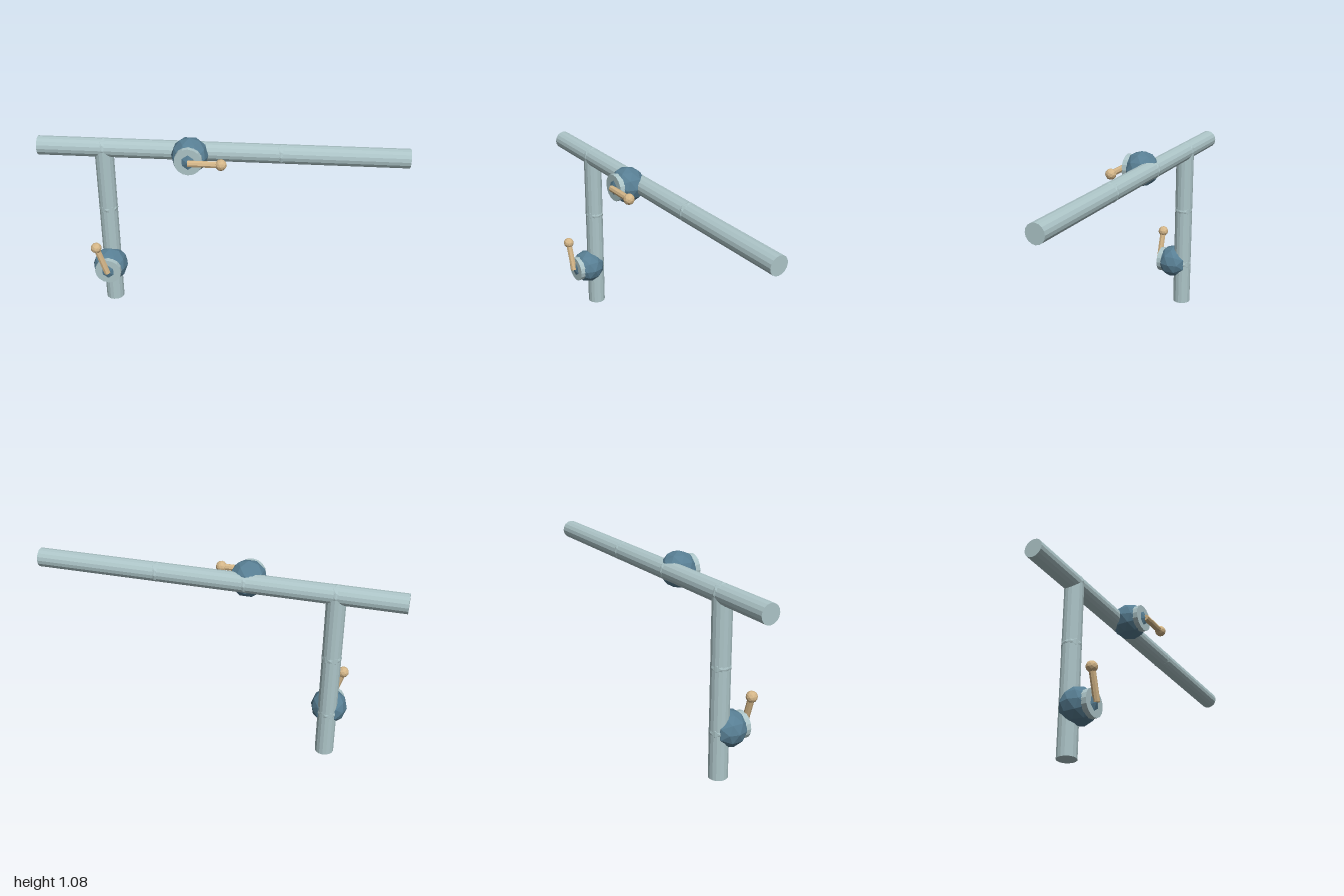
import * as THREE from 'three';

const flat = (name, color) => {
  const m = new THREE.MeshStandardMaterial({ color, flatShading: true });
  m.name = name;
  return m;
};

export function createModel() {
  const pipeGrey = flat('pale pipe grey', 0xadc5c8);
  const valveBlue = flat('valve blue', 0x587f94);
  const handleTan = flat('handle tan', 0xd4b688);

  const model = new THREE.Group();
  model.name = 'pipework';
  const PIPE_Z = -0.067, TOP_Y = 0.978, POST_X = -0.64, PIPE_R = 0.052;

  const add = (parent, name, geometry, material, x, y, z) => {
    const mesh = new THREE.Mesh(geometry, material);
    mesh.name = name;
    mesh.position.set(x, y, z);
    parent.add(mesh);
    return mesh;
  };

  // Pipes: long crossbar and the post hanging from it
  const bar = new THREE.CylinderGeometry(PIPE_R, PIPE_R, 2, 16).rotateZ(Math.PI / 2);
  add(model, 'horizontalPipe', bar, pipeGrey, 0, TOP_Y, PIPE_Z);
  const post = new THREE.CylinderGeometry(PIPE_R, PIPE_R, TOP_Y, 16);
  add(model, 'verticalPipe', post, pipeGrey, POST_X, TOP_Y / 2, PIPE_Z);

  // Faceted joints that just break through the pipe walls
  const joint = new THREE.IcosahedronGeometry(0.055, 1);
  for (const [x, y] of [[POST_X, TOP_Y], [-0.165, TOP_Y], [0.32, TOP_Y], [POST_X, 0.61], [POST_X, 0.261]]) {
    add(model, 'pipeJoint', joint, pipeGrey, x, y, PIPE_Z);
  }

  // Valve: faceted body, front collar, and a lever turned to the given angle
  const body = new THREE.IcosahedronGeometry(0.1, 1);
  const collar = new THREE.CylinderGeometry(0.075, 0.075, 0.03, 16).rotateX(Math.PI / 2);
  const rod = new THREE.CylinderGeometry(0.018, 0.018, 0.175, 8);
  const knob = new THREE.IcosahedronGeometry(0.031, 1);
  const addValve = (name, x, y, angle) => {
    const valve = new THREE.Group();
    valve.name = name;
    valve.position.set(x, y, 0);
    add(valve, 'valveBody', body, valveBlue, 0, 0, -0.009);
    add(valve, 'valveCollar', collar, pipeGrey, 0, 0, 0.064);
    const lever = new THREE.Group();
    lever.name = 'lever';
    lever.position.z = 0.092;
    lever.rotation.z = angle;
    add(lever, 'leverRod', rod, handleTan, 0, 0.0875, 0);
    add(lever, 'leverKnob', knob, handleTan, 0, 0.175, 0);
    valve.add(lever);
    model.add(valve);
  };
  addValve('upperValve', -0.165, TOP_Y, -Math.PI / 2);
  addValve('lowerValve', POST_X, 0.261, 0.3);

  return model;
}
